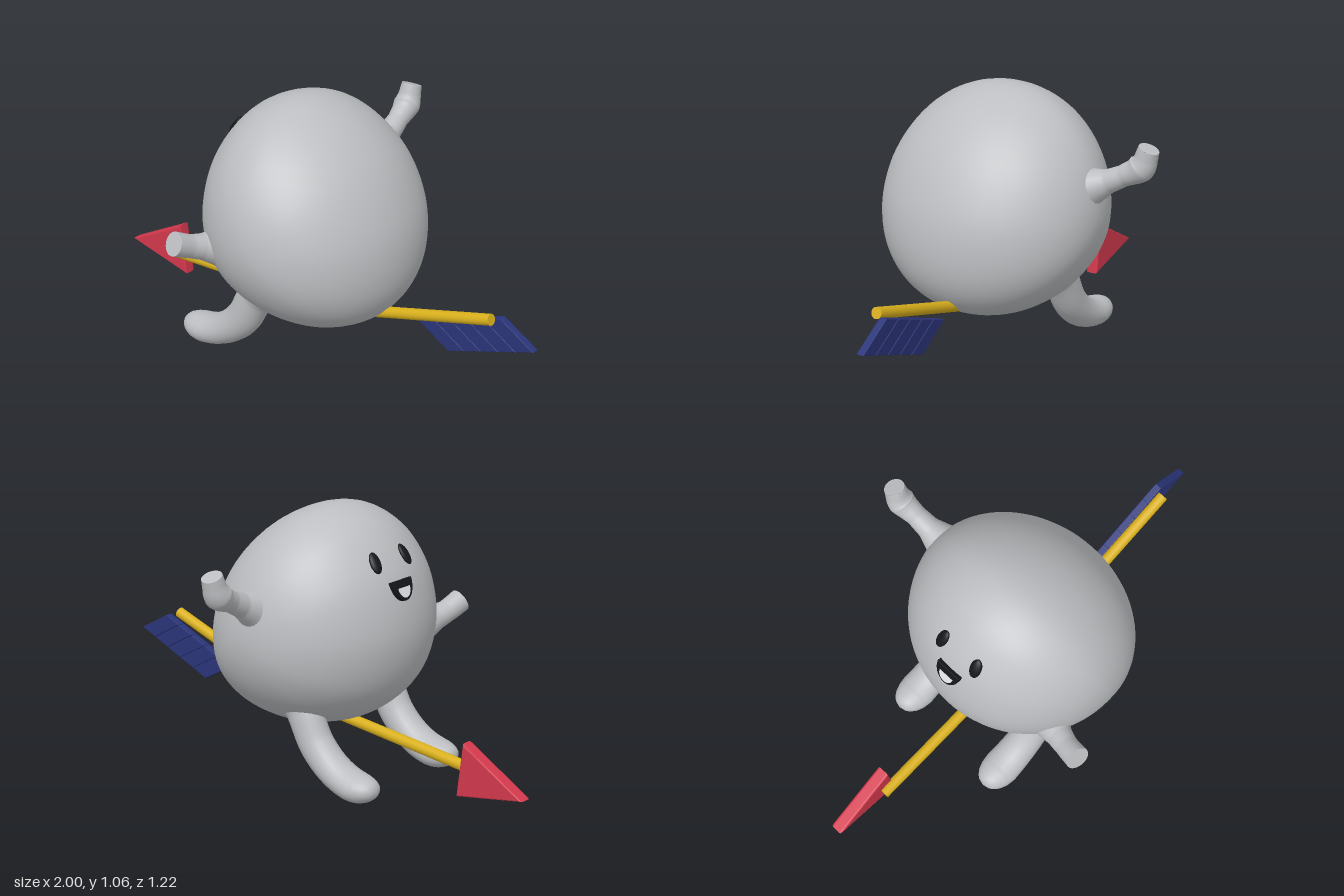
import * as THREE from 'three';
import { mergeVertices } from 'three/addons/utils/BufferGeometryUtils.js';

const mat = (name, color, side = THREE.FrontSide) => {
  const m = new THREE.MeshStandardMaterial({ color, side });
  m.name = name;
  return m;
};
const V = (x, y, z) => new THREE.Vector3(x, y, z);

// Weld seams so that normals stay smooth all round
function smooth(geo) {
  geo.deleteAttribute('uv');
  geo.deleteAttribute('normal');
  const g = mergeVertices(geo, 1e-5);
  g.computeVertexNormals();
  return g;
}

// Tube whose in-plane radius r and depth radius rz follow stops [t, r, rz]
function limb(points, stops) {
  const curve = new THREE.CatmullRomCurve3(points);
  const rows = 60, sides = 24;
  const geo = new THREE.TubeGeometry(curve, rows, 1, sides, false);
  const pos = geo.attributes.position;
  const p = V();
  for (let i = 0; i <= rows; i++) {
    const t = i / rows;
    const c = curve.getPointAt(t);
    let k = 0;
    while (k < stops.length - 2 && stops[k + 1][0] < t) k++;
    const [a, b] = [stops[k], stops[k + 1]];
    const f = THREE.MathUtils.clamp((t - a[0]) / (b[0] - a[0]), 0, 1);
    const r = THREE.MathUtils.lerp(a[1], b[1], f);
    const rz = THREE.MathUtils.lerp(a[2] ?? a[1], b[2] ?? b[1], f);
    for (let j = 0; j <= sides; j++) {
      const n = i * (sides + 1) + j;
      p.fromBufferAttribute(pos, n).sub(c);
      pos.setXYZ(n, c.x + p.x * r, c.y + p.y * r, c.z + p.z * rz);
    }
  }
  return { geo: smooth(geo), end: curve.getPointAt(1), dir: curve.getTangentAt(1) };
}

// Flat shape in the xy plane, extruded and centred on z
function plate(points, thickness, bevel, z) {
  const shape = new THREE.Shape(points.map(([x, y]) => new THREE.Vector2(x, y)));
  const depth = thickness - 2 * bevel;
  const geo = new THREE.ExtrudeGeometry(shape, {
    depth, bevelEnabled: bevel > 0, bevelThickness: bevel, bevelSize: bevel,
    bevelOffset: -bevel, bevelSegments: 2,
  });
  return geo.translate(0, 0, z - depth / 2);
}

export function createModel() {
  const model = new THREE.Group();
  const skin = mat('skin grey', 0xbcbec1);
  const gold = mat('shaft gold', 0xd9b01c);
  const red = mat('head red', 0xd2384c);
  const navy = mat('feather navy', 0x2a3478);
  const black = mat('face black', 0x141519);
  const white = mat('mouth white', 0xe2e4e8);
  const add = (name, geo, material, parent = model) => {
    const m = new THREE.Mesh(geo, material);
    m.name = name;
    parent.add(m);
    return m;
  };

  // Egg body: tilted outline in xy, shrunk elliptically towards both z poles
  const outline = new THREE.CatmullRomCurve3([
    [0.42, 0.5], [0.395, 0.66], [0.29, 0.86], [0.13, 1.0], [-0.05, 1.06], [-0.21, 1.01],
    [-0.325, 0.89], [-0.385, 0.76], [-0.41, 0.58], [-0.36, 0.39], [-0.24, 0.265],
    [-0.09, 0.2], [0.06, 0.18], [0.22, 0.205], [0.34, 0.275], [0.4, 0.37],
  ].map(([x, y]) => V(x, y, 0)), true);
  const body = new THREE.SphereGeometry(1, 72, 48).rotateX(Math.PI / 2);
  const bp = body.attributes.position;
  const cx = 0.02, cy = 0.6, cz = 0.065;
  for (let i = 0; i < bp.count; i++) {
    const x = bp.getX(i), y = bp.getY(i);
    const s = Math.hypot(x, y);
    const u = (Math.atan2(y, x) / (2 * Math.PI) + 1) % 1;
    const q = outline.getPoint(u);
    bp.setXYZ(i, cx + (q.x - cx) * s, cy + (q.y - cy) * s, cz + bp.getZ(i) * 0.45);
  }
  add('body', smooth(body), skin);

  // Legs with rounded feet
  for (const [name, z] of [['frontLeg', 0.303], ['backLeg', -0.165]]) {
    const leg = limb(
      [[-0.03, 0.38], [-0.095, 0.29], [-0.16, 0.175], [-0.25, 0.097], [-0.35, 0.06], [-0.46, 0.064]]
        .map(([x, y]) => V(x, y, z)),
      [[0, 0.1, 0.08], [0.18, 0.074, 0.063], [0.45, 0.07, 0.066], [0.63, 0.064, 0.07],
        [0.82, 0.058, 0.075], [0.88, 0.054, 0.07], [0.93, 0.045, 0.059], [0.965, 0.034, 0.044],
        [0.985, 0.022, 0.029], [1, 0, 0]]);
    add(name, leg.geo, skin);
  }

  // Arms with flat ends
  const arm = (name, points, stops) => {
    const a = limb(points, stops);
    add(name, a.geo, skin);
    const cap = add(name + 'End', new THREE.CircleGeometry(stops.at(-1)[1], 24), skin);
    cap.position.copy(a.end);
    cap.lookAt(a.end.clone().add(a.dir));
  };
  arm('frontArm',
    [V(-0.17, 0.5, 0.36), V(-0.2, 0.528, 0.44), V(-0.225, 0.555, 0.52), V(-0.24, 0.587, 0.588)],
    [[0, 0.09], [0.25, 0.068], [0.5, 0.05], [0.7, 0.045], [1, 0.047]]);
  arm('backArm',
    [V(0, 0.715, -0.32), V(-0.005, 0.745, -0.39), V(-0.012, 0.785, -0.47),
      V(-0.02, 0.828, -0.54), V(-0.02, 0.902, -0.568)],
    [[0, 0.085], [0.15, 0.064], [0.3, 0.046], [0.5, 0.041], [0.62, 0.046], [0.74, 0.054],
      [0.88, 0.044], [1, 0.04]]);

  // Face on the -x side
  for (const [name, z, nz] of [['eyeBack', -0.022, -0.18], ['eyeFront', 0.145, 0.18]]) {
    const eye = add(name, new THREE.SphereGeometry(1, 24, 16), black);
    eye.scale.set(0.023, 0.043, 0.012);
    eye.position.set(-0.319, 0.892, z);
    eye.lookAt(eye.position.clone().add(V(-0.8, 0.58, nz)));
  }
  const mouth = new THREE.Group();
  mouth.name = 'mouth';
  const arc = (w, top, bottom) => {
    const pts = [];
    for (let i = 0; i <= 16; i++) {
      const a = Math.PI * (1 + i / 16);
      pts.push([w * Math.cos(a), top + (top - bottom) * Math.sin(a)]);
    }
    return pts;
  };
  add('mouthShape', plate(arc(0.055, 0.038, -0.042), 0.022, 0.003, 0), black, mouth);
  add('mouthInside', plate(arc(0.032, 0.008, -0.032), 0.004, 0, 0.011), white, mouth);
  mouth.position.set(-0.381, 0.785, 0.06);
  mouth.lookAt(V(-0.381 - 0.93, 0.785 + 0.36, 0.06));
  model.add(mouth);

  // Arrow shaft, bent where it passes through the body
  const rods = [
    ['shaftFront', V(-0.77, 0.16, 0.065), V(0.05, 0.215, 0.065)],
    ['shaftBack', V(0.05, 0.215, 0.065).setY(0.187), V(0.828, 0.424, 0.065)],
  ];
  for (const [name, a, b] of rods) {
    const rod = add(name, new THREE.CylinderGeometry(0.022, 0.022, a.distanceTo(b), 16), gold);
    rod.position.copy(a).lerp(b, 0.5);
    rod.quaternion.setFromUnitVectors(V(0, 1, 0), b.clone().sub(a).normalize());
  }

  // Arrowhead
  add('arrowHead', plate([[-1, 0.132], [-0.7, 0.065], [-0.725, 0.282]], 0.05, 0.008, 0.028), red);

  // Feather made of five slanted vanes
  const feather = new THREE.Group();
  feather.name = 'feather';
  const start = [0.475, 0.284], run = [0.375, 0.138], slant = [0.147, -0.086];
  for (let i = 0; i < 5; i++) {
    const corner = (t, s) => [0, 1].map((k) => start[k] + run[k] * t + slant[k] * s);
    const t0 = i / 5, t1 = (i + 0.98) / 5;
    add('vane' + (i + 1), plate([corner(t0, 0), corner(t0, 1), corner(t1, 1), corner(t1, 0)],
      0.03, 0.003, 0.022), navy, feather);
  }
  model.add(feather);
  return model;
}
